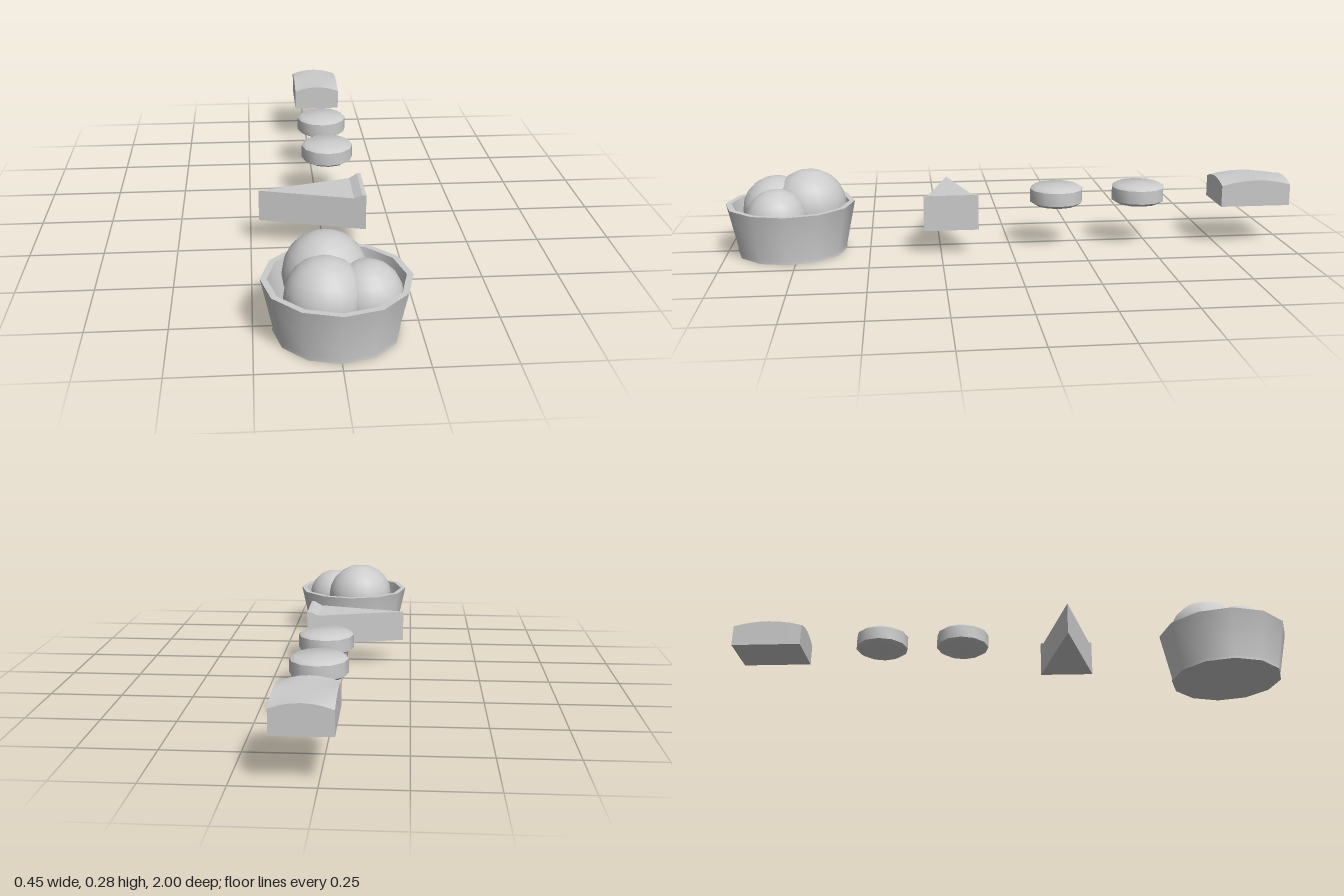
import * as THREE from 'three';
import { toCreasedNormals } from 'three/addons/utils/BufferGeometryUtils.js';

const material = new THREE.MeshStandardMaterial({ color: 0xcccccc });
const flatMaterial = new THREE.MeshStandardMaterial({ color: 0xcccccc, flatShading: true });

function part(name, geometry, position = [0, 0, 0], mat = material) {
  const mesh = new THREE.Mesh(geometry, mat);
  mesh.name = name;
  mesh.position.set(...position);
  return mesh;
}

// Lathe with twelve sides and sharp rims
function turned(points, crease) {
  const profile = points.map(([r, y]) => new THREE.Vector2(r, y));
  return toCreasedNormals(new THREE.LatheGeometry(profile, 12), crease);
}

// Move every vertex of a geometry by a rule
function reshape(geometry, rule) {
  const pos = geometry.attributes.position;
  for (let i = 0; i < pos.count; i++) {
    pos.setXYZ(i, ...rule(pos.getX(i), pos.getY(i), pos.getZ(i)));
  }
  return geometry;
}

function createBowl() {
  const bowl = new THREE.Group();
  bowl.name = 'bowlOfScoops';
  bowl.position.z = 0.775;
  bowl.add(part('bowl', turned([
    [0, 0], [0.192, 0], [0.191, 0.013], [0.225, 0.174],
    [0.205, 0.174], [0.175, 0.02], [0, 0.02],
  ], 0.7)));

  // Three scoops: radius and centre
  const scoops = [
    [0.13, -0.03, 0.154, -0.065],
    [0.12, -0.04, 0.141, 0.052],
    [0.106, 0.085, 0.134, 0.04],
  ];
  for (const [r, x, y, z] of scoops) {
    bowl.add(part('scoop', new THREE.SphereGeometry(r, 20, 10), [x, y, z]));
  }
  return bowl;
}

// Wedge that narrows to a point, with a raised crust at the wide end
function createSlice() {
  const xs = [-0.22, 0.098, 0.125, 0.138];
  const tops = [0.202, 0.202, 0.216, 0.216];
  const geometry = reshape(new THREE.BoxGeometry(3, 1, 1, 3, 1, 1), (x, y, z) => {
    const i = Math.round(x + 1.5);
    const width = 0.19 * (xs[i] - xs[0]) / 0.358 + 0.001;
    return [xs[i], y > 0 ? tops[i] : 0.091, z * width];
  });
  return part('cakeSlice', geometry, [0, 0, 0.215], flatMaterial);
}

// Block with a softly domed top whose corners drop away
function createBlock() {
  const box = new THREE.BoxGeometry(2, 2, 2, 6, 1, 6);
  const geometry = reshape(box, (x, y, z) => [
    x * 0.091,
    y > 0 ? 0.242 - 0.018 * x * x * z * z : 0.148,
    z * 0.125,
  ]);
  return part('bun', toCreasedNormals(geometry, 0.6), [0.044, 0, -0.875]);
}

export function createModel() {
  const model = new THREE.Group();
  model.name = 'desserts';
  model.add(createBowl(), createSlice(), createBlock());

  // Two round biscuits with bevelled edges
  const biscuit = turned([
    [0, 0.152], [0.078, 0.153], [0.095, 0.164],
    [0.095, 0.211], [0.08, 0.222], [0, 0.225],
  ], 0.9);
  for (const z of [-0.167, -0.465]) model.add(part('biscuit', biscuit, [0.043, 0, z]));
  return model;
}
